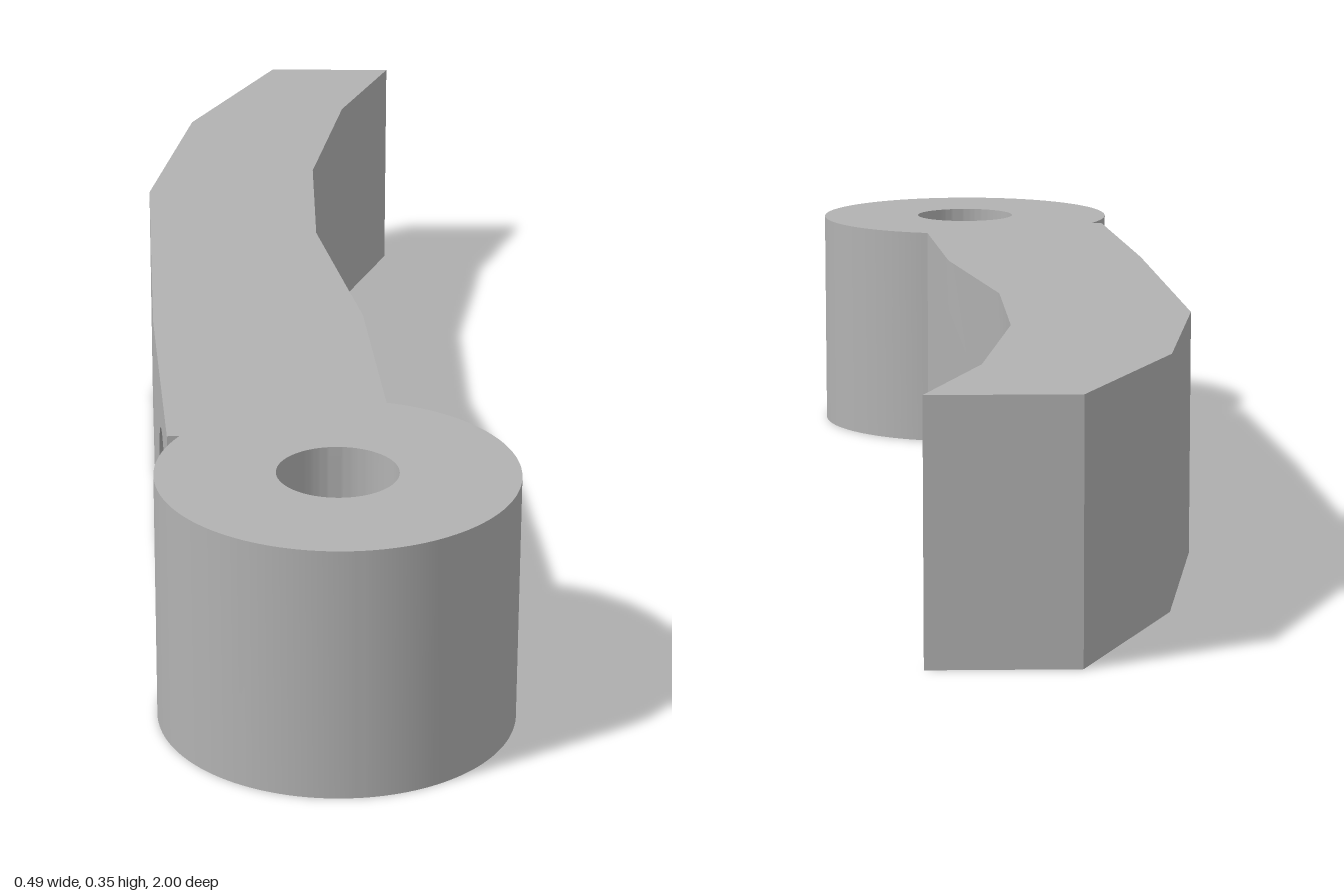
import * as THREE from 'three';
import { toCreasedNormals } from 'three/addons/utils/BufferGeometryUtils.js';

const HEIGHT = 0.355;
const RING = { x: -0.004, z: 0.756, r: 0.244, bore: 0.082 };
const PAD = { outer: -0.224, inner: -0.164, z0: 0.2, z1: 0.62 };

// Arm edges as [x, z]: inner side up to the tip, then back down the outer side
const ARM = [
  [0.085, 0.53], [0.085, 0.2], [0.047, -0.155], [0.067, -0.45], [0.145, -0.765],
  [0.245, -0.98], [0.043, -1],
  [-0.117, -0.715], [-0.205, -0.365], [PAD.outer, PAD.z0], [PAD.inner, PAD.z0],
];

function extrude(shape, depth) {
  const geometry = new THREE.ExtrudeGeometry(shape, { depth, bevelEnabled: false, curveSegments: 64 });
  return toCreasedNormals(geometry, Math.PI / 6);
}

function circlePath(x, y, r) {
  return new THREE.Path().absarc(x, y, r, 0, Math.PI * 2, true);
}

export function createModel() {
  const group = new THREE.Group();
  group.name = 'lever';
  const grey = new THREE.MeshStandardMaterial({ color: 0xb2b2b2 });
  grey.name = 'grey';

  // Curved arm and pivot ring in one outline, recessed where the pad sits
  const outline = new THREE.Shape(ARM.map(([x, z]) => new THREE.Vector2(x, -z)));
  const ringX = PAD.inner - RING.x;
  const start = Math.atan2(Math.sqrt(RING.r ** 2 - ringX ** 2), ringX);
  const end = Math.acos((0.085 - RING.x) / RING.r) + Math.PI * 2;
  outline.absarc(RING.x, -RING.z, RING.r, start, end, false);
  outline.holes.push(circlePath(RING.x, -RING.z, RING.bore));
  const body = new THREE.Mesh(extrude(outline, HEIGHT).rotateX(-Math.PI / 2), grey);
  body.name = 'armAndPivotRing';
  group.add(body);

  // Side pad that fills the recess and leaves a shallow round pocket
  const side = new THREE.Shape([
    new THREE.Vector2(PAD.z0, 0), new THREE.Vector2(PAD.z1, 0),
    new THREE.Vector2(PAD.z1, HEIGHT), new THREE.Vector2(PAD.z0, HEIGHT),
  ]);
  side.holes.push(circlePath(0.46, HEIGHT / 2, 0.112));
  const pad = new THREE.Mesh(extrude(side, PAD.inner - PAD.outer).rotateY(-Math.PI / 2), grey);
  pad.position.x = PAD.inner;
  pad.name = 'pocketPad';
  group.add(pad);

  return group;
}
